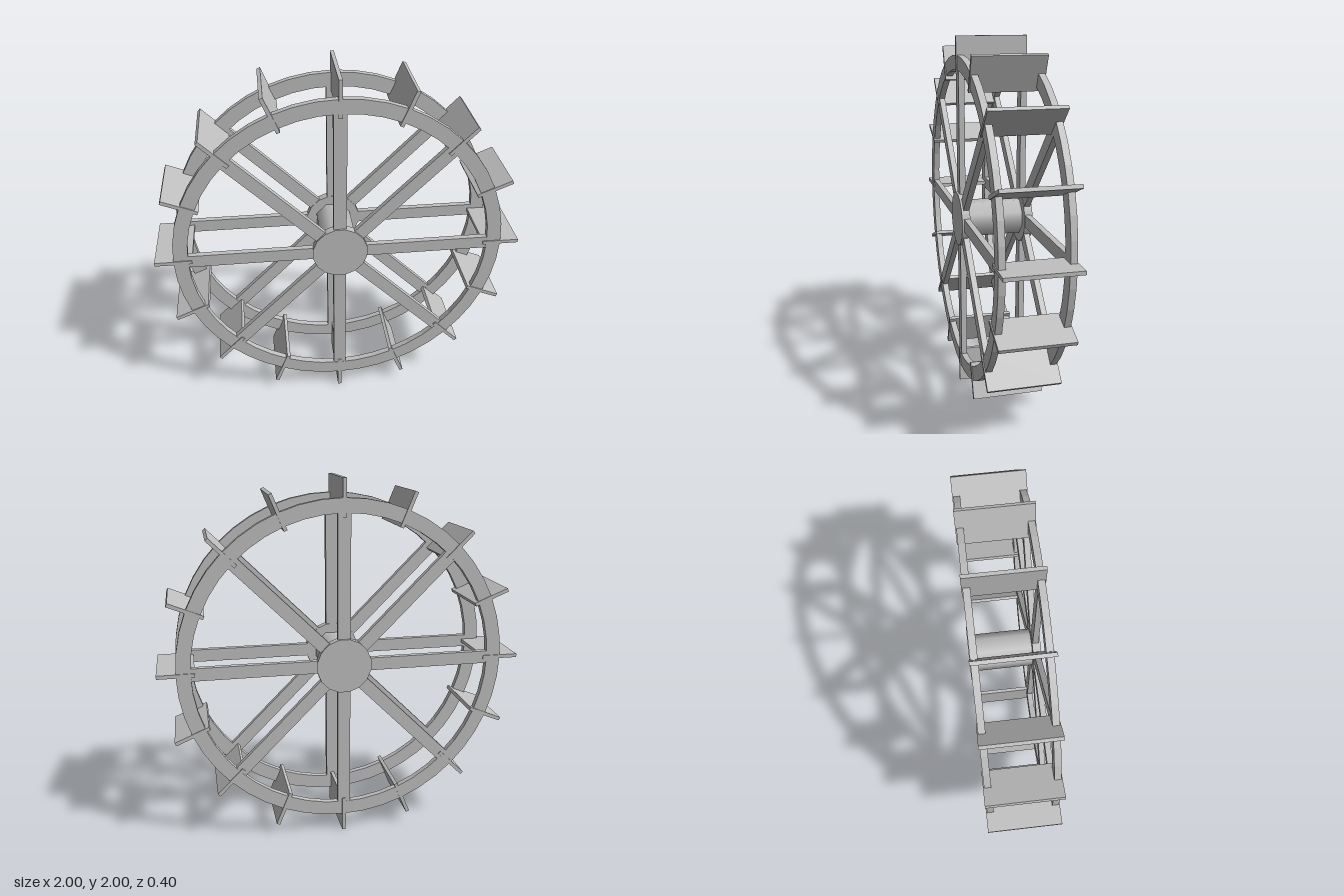
import * as THREE from 'three';

const wood = new THREE.MeshStandardMaterial({ color: 0xc0c0c0 });
wood.name = 'plain grey';

const RING_Z = 0.172, RING_DEPTH = 0.035;

function part(name, geometry) {
  const mesh = new THREE.Mesh(geometry, wood);
  mesh.name = name;
  return mesh;
}

// Regular polygon prism along z with a flat facing up
function prism(radius, depth, sides) {
  return new THREE.CylinderGeometry(radius, radius, depth, sides)
    .rotateY(Math.PI / sides)
    .rotateX(Math.PI / 2)
    .toNonIndexed();
}

// Flat ring with a square section, centred on z = 0
function ringGeometry(outer, inner, depth, sides) {
  const circle = (r) => Array.from({ length: sides }, (_, i) => {
    const a = (i / sides) * Math.PI * 2;
    return new THREE.Vector2(r * Math.cos(a), r * Math.sin(a));
  });
  const shape = new THREE.Shape(circle(outer));
  shape.holes.push(new THREE.Path(circle(inner)));
  return new THREE.ExtrudeGeometry(shape, { depth, bevelEnabled: false })
    .translate(0, 0, -depth / 2);
}

// One side of the wheel: rim, spokes and hub disc
function wheelSide(name, sign) {
  const side = new THREE.Group();
  side.name = name;

  const rim = part('rim', ringGeometry(0.9, 0.822, RING_DEPTH, 48));
  rim.position.z = sign * RING_Z;
  side.add(rim);

  for (let i = 0; i < 8; i++) {
    const spoke = part('spoke', new THREE.BoxGeometry(0.74, 0.07, 0.032).translate(0.47, 0, 0));
    spoke.position.z = sign * RING_Z;
    spoke.rotation.z = (i * Math.PI) / 4;
    side.add(spoke);
  }

  const hub = part('hub', prism(0.152, 0.046, 16));
  hub.position.z = sign * 0.176;
  side.add(hub);
  return side;
}

export function createModel() {
  const model = new THREE.Group();
  model.name = 'waterWheel';

  const wheel = new THREE.Group();
  wheel.name = 'wheel';
  wheel.position.y = 1;
  wheel.add(wheelSide('frontSide', 1), wheelSide('backSide', -1));

  // Octagonal axle between the hubs
  wheel.add(part('axle', prism(0.104, 0.398, 8)));

  // Radial paddles across both rims
  for (let i = 0; i < 16; i++) {
    const paddle = part('paddle', new THREE.BoxGeometry(0.2, 0.02, 0.39).translate(0.9, 0, 0));
    paddle.rotation.z = (i * Math.PI) / 8;
    wheel.add(paddle);
  }

  model.add(wheel);
  return model;
}
